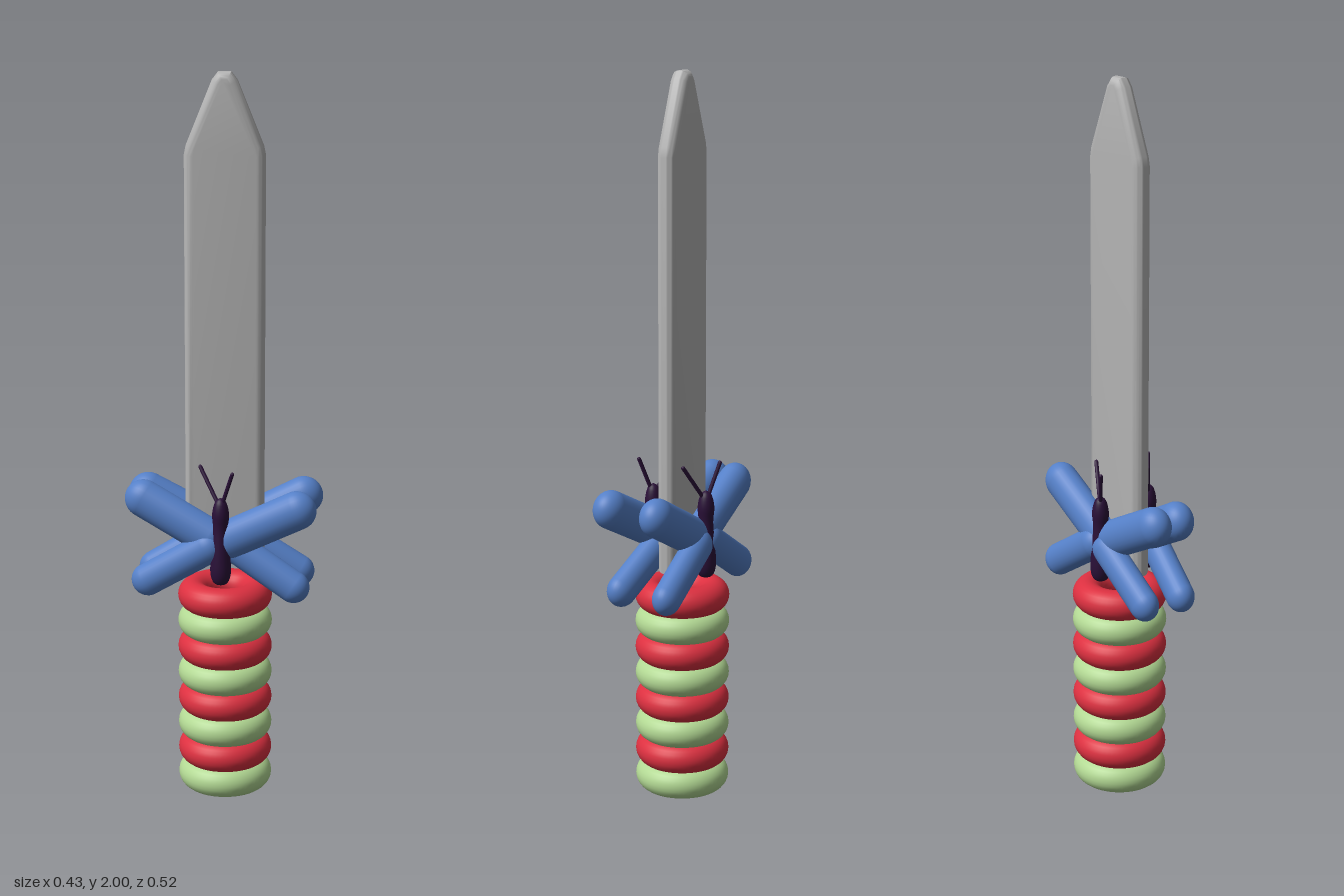
import * as THREE from 'three';
import { toCreasedNormals } from 'three/addons/utils/BufferGeometryUtils.js';

const mat = (name, color) => {
  const m = new THREE.MeshStandardMaterial({ color });
  m.name = name;
  return m;
};

export function createModel() {
  const steel = mat('steel grey', 0xb4b4b4);
  const green = mat('pale green', 0xb2d893);
  const red = mat('red', 0xdc3040);
  const blue = mat('wing blue', 0x5580c8);
  const dark = mat('dark purple', 0x2a1038);

  const root = new THREE.Group();
  root.name = 'butterflyDagger';
  const add = (parent, name, geo, material, x = 0, y = 0, z = 0) => {
    const m = new THREE.Mesh(geo, material);
    m.name = name;
    m.position.set(x, y, z);
    parent.add(m);
    return m;
  };
  const axisX = -0.005, axisZ = -0.021;

  // Handle: stacked rings in alternating colours
  const ringGeo = new THREE.TorusGeometry(0.088, 0.042, 24, 56).rotateX(Math.PI / 2);
  for (let i = 0; i < 8; i++) {
    add(root, i % 2 ? 'redRing' : 'greenRing', ringGeo, i % 2 ? red : green,
      axisX, 0.042 + i * 0.0752, axisZ);
  }

  // Blade: pointed outline with fully rounded edges
  const outline = new THREE.Shape([
    [-0.083, 0.68], [0.083, 0.68], [0.083, 1.78], [0.079, 1.8], [0.012, 1.965],
    [0.005, 1.974], [-0.005, 1.974], [-0.012, 1.965], [-0.079, 1.8], [-0.083, 1.78],
  ].map(([x, y]) => new THREE.Vector2(x, y)));
  const bladeGeo = new THREE.ExtrudeGeometry(outline, {
    depth: 0.004, bevelEnabled: true, bevelSize: 0.025, bevelThickness: 0.024, bevelSegments: 8,
  }).translate(0, 0, -0.002);
  const blade = add(root, 'blade', toCreasedNormals(bladeGeo, 0.7), steel, axisX, 0, axisZ);
  blade.rotation.y = -THREE.MathUtils.degToRad(48.5);

  // Rounded wing lobe, flattened, running between two points
  const lobe = (parent, name, a, b, r, z) => {
    const dx = b[0] - a[0], dy = b[1] - a[1];
    const geo = new THREE.CapsuleGeometry(r, Math.hypot(dx, dy), 12, 28);
    const m = add(parent, name, geo, blue, (a[0] + b[0]) / 2, (a[1] + b[1]) / 2, z);
    m.rotation.z = Math.atan2(-dx, dy);
    m.scale.z = 0.84;
  };

  // Body: long tapered belly, slight waist, small head
  const bodyGeo = new THREE.LatheGeometry(new THREE.SplineCurve([
    [0, 0.625], [0.019, 0.632], [0.028, 0.66], [0.026, 0.71], [0.02, 0.78],
    [0.023, 0.825], [0.015, 0.86], [0, 0.872],
  ].map(([x, y]) => new THREE.Vector2(x, y))).getPoints(28).map(p => p.setX(Math.max(p.x, 0))), 24);

  // One butterfly on each face of the blade
  const butterflies = [
    { mid: [-0.062, 0.015], deg: 61, body: [-0.08, 0.036], low: [-0.025, 0.02],
      tips: [[-0.083, -0.038], [-0.078, 0.078]] },
    { mid: [0.028, -0.05], deg: 231, body: [0.044, -0.071], low: [0.02, 0.022],
      tips: [[0.04, -0.113], [0.06, 0.002]] },
  ];
  for (const b of butterflies) {
    const wings = new THREE.Group();
    wings.name = 'wings';
    wings.position.set(b.mid[0], 0, b.mid[1]);
    wings.rotation.y = -THREE.MathUtils.degToRad(b.deg);
    root.add(wings);
    [1, -1].forEach((s, i) => {
      lobe(wings, 'upperWing', [s * 0.03, 0.75], [s * 0.215, 0.845], 0.053, 0);
      lobe(wings, 'lowerWing', [s * 0.03, 0.725], [s * 0.2, 0.62], 0.045, b.low[i]);
    });

    add(root, 'body', bodyGeo, dark, b.body[0], 0, b.body[1]);

    // Antennae spread from the head
    for (const [tx, tz] of b.tips) {
      const path = new THREE.LineCurve3(
        new THREE.Vector3(b.body[0], 0.84, b.body[1]), new THREE.Vector3(tx, 0.945, tz));
      add(root, 'antenna', new THREE.TubeGeometry(path, 1, 0.0055, 10), dark);
      add(root, 'antennaTip', new THREE.SphereGeometry(0.0055, 10, 8), dark, tx, 0.945, tz);
    }
  }
  return root;
}
